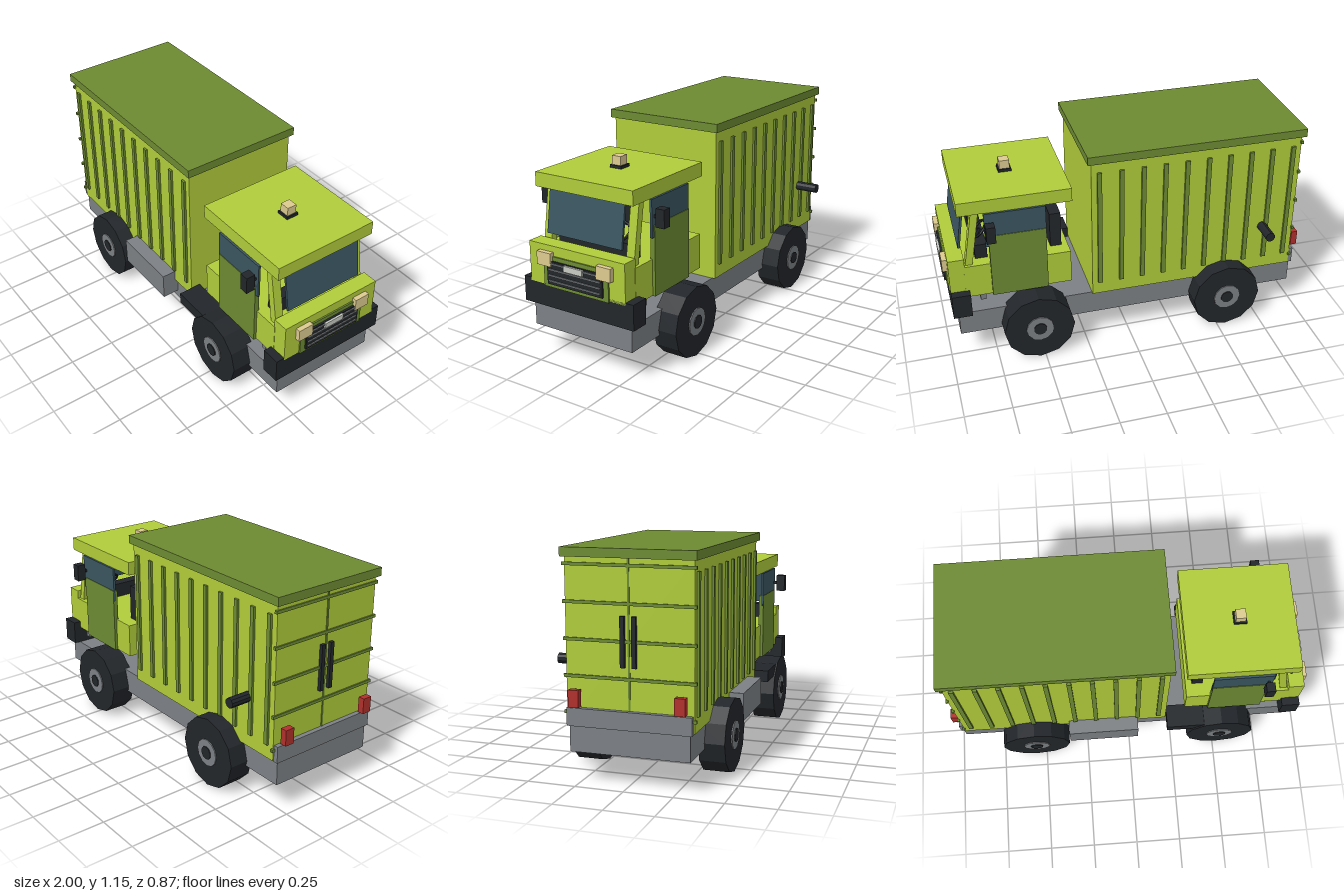
import * as THREE from 'three';

const mat = (color, extra = {}) => new THREE.MeshStandardMaterial({ color, flatShading: true, ...extra });
const LIME = mat(0xb0cc3a), GREEN = mat(0x6c8a32), BLACK = mat(0x22262a), GREY = mat(0x7c8084);
const GLASS = mat(0x3a5560, { side: THREE.DoubleSide }), TAN = mat(0xdccb90), RED = mat(0xb0302c), WHITE = mat(0xc8ccc4);

export function createModel() {
  const truck = new THREE.Group();
  truck.name = 'truck';
  truck.position.z = 0.0175;

  const add = (name, geometry, material, parent = truck) => {
    const mesh = new THREE.Mesh(geometry, material);
    mesh.name = name;
    parent.add(mesh);
    return mesh;
  };
  // Box given by its lower and upper limits on each axis
  const box = (name, material, x0, x1, y0, y1, z0, z1, parent = truck) => {
    const mesh = add(name, new THREE.BoxGeometry(x1 - x0, y1 - y0, z1 - z0), material, parent);
    mesh.position.set((x0 + x1) / 2, (y0 + y1) / 2, (z0 + z1) / 2);
    return mesh;
  };
  // Box centred across the width
  const wide = (name, material, x0, x1, y0, y1, half) => box(name, material, x0, x1, y0, y1, -half, half);
  // The same box on both sides
  const pair = (name, material, x0, x1, y0, y1, z0, z1) => {
    box(name + 'Front', material, x0, x1, y0, y1, z0, z1);
    box(name + 'Back', material, x0, x1, y0, y1, -z1, -z0);
  };
  // Slab leaning in the x-y plane from a bottom point to a top point
  const leaning = (name, material, xb, yb, xt, yt, thick, z0, z1) => {
    const len = Math.hypot(xt - xb, yt - yb);
    const mesh = add(name, new THREE.BoxGeometry(thick, len, z1 - z0), material);
    mesh.position.set((xb + xt) / 2, (yb + yt) / 2, (z0 + z1) / 2);
    mesh.rotation.z = Math.atan2(xb - xt, yt - yb);
    return mesh;
  };

  // Chassis, bumpers and side equipment
  wide('chassis', GREY, -0.96, 0.94, 0.165, 0.3, 0.305);
  wide('rearSill', GREY, -0.97, -0.905, 0.295, 0.385, 0.316);
  wide('frontBumper', BLACK, 0.87, 0.97, 0.3, 0.435, 0.34);
  box('fuelTank', GREY, -0.345, 0.048, 0.21, 0.36, 0.29, 0.4);
  box('sideFender', BLACK, 0.215, 0.5, 0.295, 0.36, 0.27, 0.4);
  pair('tailLamp', RED, -1, -0.965, 0.395, 0.48, 0.24, 0.293);
  const exhaust = add('exhaustPipe', new THREE.CylinderGeometry(0.027, 0.027, 0.15, 10), BLACK);
  exhaust.rotation.x = Math.PI / 2;
  exhaust.position.set(-0.76, 0.578, -0.372);

  // Wheels with stepped hubs
  for (const x of [-0.545, 0.525]) {
    for (const side of [1, -1]) {
      const wheel = new THREE.Group();
      wheel.name = 'wheel';
      wheel.position.set(x, 0.195, side * 0.34);
      wheel.rotation.x = side * Math.PI / 2;
      add('tyre', new THREE.CylinderGeometry(0.192, 0.192, 0.136, 12), BLACK, wheel);
      add('hub', new THREE.CylinderGeometry(0.075, 0.075, 0.148, 12), GREY, wheel);
      add('hubCap', new THREE.CylinderGeometry(0.036, 0.036, 0.158, 10), BLACK, wheel);
      truck.add(wheel);
    }
  }

  // Cargo container with ribs, roof and rear doors
  wide('container', LIME, -0.945, 0.21, 0.3, 1.115, 0.322);
  wide('containerRoof', GREEN, -0.965, 0.23, 1.11, 1.155, 0.338);
  for (let i = 0; i < 10; i++) {
    const x = -0.9 + i * 0.1186;
    pair('rib', GREEN, x - 0.012, x + 0.012, 0.375, 1.055, 0.315, 0.334);
  }
  for (let i = 0; i < 5; i++) {
    const y = 0.36 + i * 0.179;
    wide('doorHinge', GREEN, -0.952, -0.938, y - 0.008, y + 0.008, 0.334);
  }
  wide('doorSeam', GREEN, -0.949, -0.94, 0.385, 1.11, 0.005);
  pair('doorHandle', BLACK, -0.963, -0.944, 0.595, 0.84, 0.018, 0.04);

  // Open cab: lower body, roof, doors, windows and pillars
  wide('cabBody', LIME, 0.32, 0.89, 0.395, 0.585, 0.296);
  wide('nose', LIME, 0.885, 0.97, 0.42, 0.632, 0.294);
  wide('cabRoof', LIME, 0.305, 0.9, 0.895, 0.97, 0.297);
  pair('door', GREEN, 0.45, 0.75, 0.393, 0.762, 0.285, 0.312);
  pair('doorWindow', GLASS, 0.448, 0.768, 0.7, 0.895, 0.297, 0.309);
  pair('step', GREY, 0.785, 0.815, 0.355, 0.396, 0.24, 0.285);
  for (const [z0, z1] of [[0.232, 0.28], [-0.28, -0.232]]) {
    leaning('pillar', LIME, 0.862, 0.575, 0.808, 0.9, 0.038, z0, z1);
  }
  leaning('windshield', GLASS, 0.9, 0.665, 0.865, 0.897, 0.012, -0.23, 0.23);
  pair('mirror', BLACK, 0.72, 0.768, 0.76, 0.855, 0.33, 0.38);
  pair('mirrorArm', BLACK, 0.738, 0.752, 0.8, 0.815, 0.3, 0.335);

  // Interior
  pair('seatBack', BLACK, 0.355, 0.415, 0.58, 0.785, 0.06, 0.22);
  wide('dashboard', BLACK, 0.755, 0.82, 0.58, 0.667, 0.23);
  const steering = add('steeringWheel', new THREE.TorusGeometry(0.05, 0.008, 6, 12), BLACK);
  steering.position.set(0.775, 0.705, -0.13);
  steering.rotation.set(0, Math.PI / 2, 0);
  steering.rotateX(-0.75);
  leaning('steeringColumn', BLACK, 0.81, 0.65, 0.775, 0.705, 0.014, -0.137, -0.123);

  // Grille and headlights
  wide('grilleFrame', GREEN, 0.965, 0.978, 0.415, 0.58, 0.2);
  wide('grille', BLACK, 0.97, 0.988, 0.435, 0.558, 0.17);
  for (const y of [0.455, 0.484, 0.515, 0.546]) wide('grilleBar', GREY, 0.98, 0.994, y - 0.004, y + 0.004, 0.16);
  wide('grillePlate', WHITE, 0.985, 0.999, 0.525, 0.556, 0.058);
  pair('headlight', TAN, 0.965, 0.996, 0.53, 0.6, 0.141, 0.227);

  // Roof beacon
  box('beaconBase', BLACK, 0.57, 0.64, 0.968, 0.985, -0.035, 0.035);
  box('beacon', TAN, 0.578, 0.632, 0.985, 1.032, -0.027, 0.027);

  const model = new THREE.Group();
  model.name = 'boxTruck';
  model.add(truck);
  return model;
}
